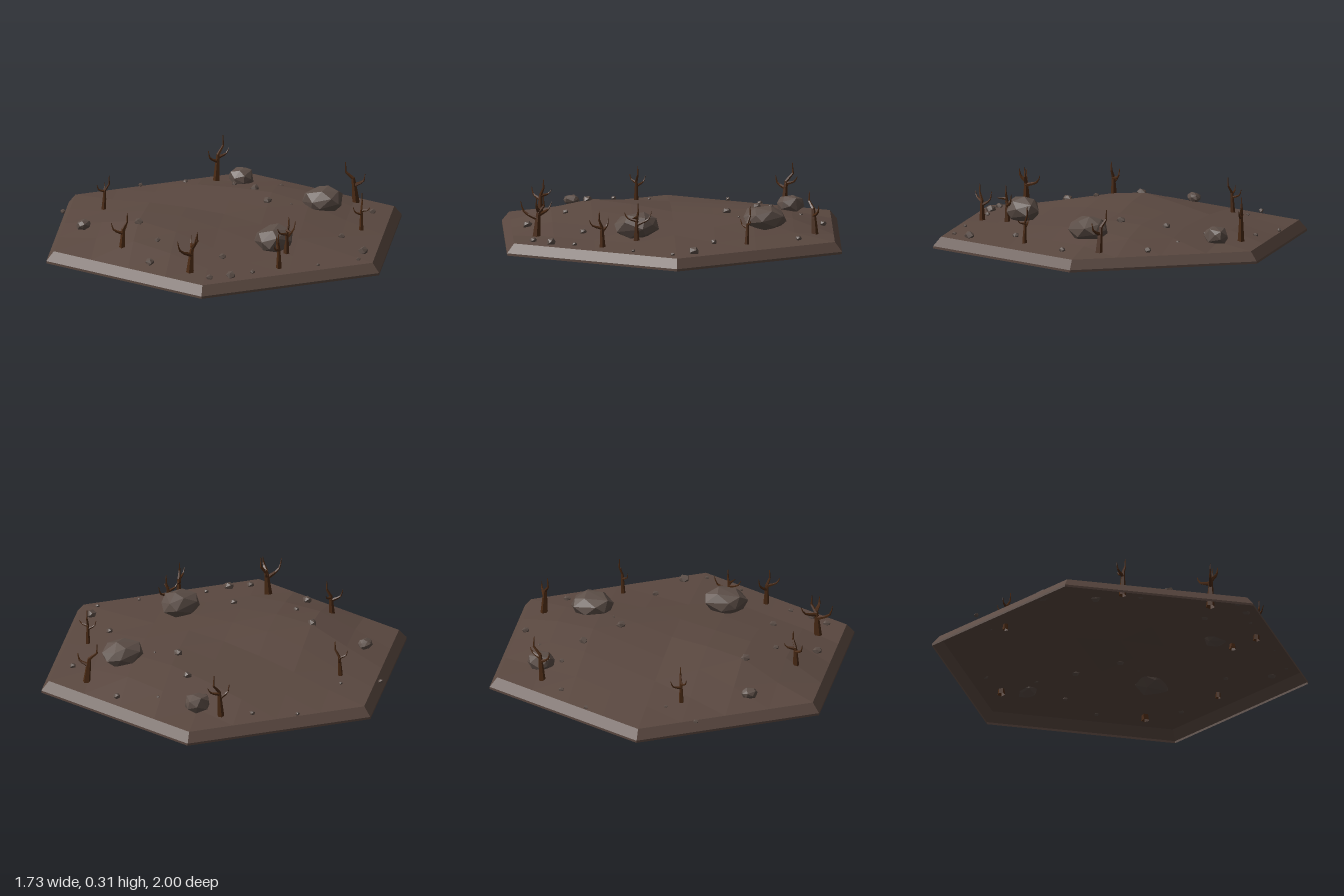
import * as THREE from 'three';
import { ConvexGeometry } from 'three/addons/geometries/ConvexGeometry.js';

const mat = (color) => new THREE.MeshStandardMaterial({ color, flatShading: true, side: THREE.DoubleSide, roughness: 1 });
const earth = mat(0x5a4840), stone = mat(0x5c4e47), bark = mat(0x4a2a14);

let seed = 7;
const rand = () => (seed = (seed * 16807) % 2147483647) / 2147483647;

// Ground heights inside the rim, one column per x step, running back to front
const RIM = 0.06, R = 0.958, STEP = R / 4;
const HEIGHTS = [
  [0.10, 0.13, 0.11, 0.075],
  [0.11, 0.165, 0.15, 0.11, 0.075],
  [0.09, 0.14, 0.16, 0.14, 0.11, 0.08],
  [0.08, 0.11, 0.13, 0.14, 0.13, 0.10, 0.08],
  [0.09, 0.12, 0.14, 0.145, 0.12, 0.08],
  [0.10, 0.13, 0.15, 0.135, 0.09],
  [0.08, 0.11, 0.12, 0.09],
];

// Triangular grid: columns of 5 to 9 points
const columns = [];
for (let i = -4; i <= 4; i++) {
  const n = 9 - Math.abs(i), col = [];
  for (let j = 0; j < n; j++) {
    const y = HEIGHTS[i + 3]?.[j - 1] ?? RIM;
    col.push(new THREE.Vector3(i * STEP * Math.sqrt(3) / 2, y, (j - (n - 1) / 2) * STEP));
  }
  columns.push(col);
}

// Smoothed ground height, for standing things on it
function groundAt(x, z) {
  let sum = 0, total = 0;
  for (const p of columns.flat()) {
    const w = Math.max(0, 1 - Math.hypot(p.x - x, p.z - z) / 0.26);
    sum += w * p.y;
    total += w;
  }
  return total ? sum / total : RIM;
}

function terrainGeometry() {
  const pts = [];
  for (let i = 0; i < 8; i++) {
    const grows = columns[i + 1].length > columns[i].length;
    const a = grows ? columns[i] : columns[i + 1]; // shorter column
    const b = grows ? columns[i + 1] : columns[i];
    const add = (p, q, r) => pts.push(...(grows ? [p, r, q] : [p, q, r]));
    for (let j = 0; j < a.length; j++) {
      add(a[j], b[j], b[j + 1]);
      if (j + 1 < a.length) add(a[j], b[j + 1], a[j + 1]);
    }
  }
  const g = new THREE.BufferGeometry().setFromPoints(pts);
  g.computeVertexNormals();
  return g;
}

// Faceted boulder: hull of jittered points spread over a sphere
function rockGeometry(count, rx, ry, rz) {
  const pts = [];
  for (let i = 0; i < count; i++) {
    const y = 1 - (2 * i + 1) / count, a = i * 2.4 + rand() * 0.5;
    const s = Math.sqrt(1 - y * y), k = 0.95 + rand() * 0.15;
    pts.push(new THREE.Vector3(Math.cos(a) * s * k * rx, y * k * ry, Math.sin(a) * s * k * rz));
  }
  return new ConvexGeometry(pts);
}

// Tapered five-sided limb through a few points
function limb(points, r0, r1) {
  const curve = new THREE.CatmullRomCurve3(points);
  const segs = 5, sides = 5;
  const g = new THREE.TubeGeometry(curve, segs, 1, sides);
  const pos = g.attributes.position, v = new THREE.Vector3();
  for (let i = 0; i < pos.count; i++) {
    const t = Math.floor(i / (sides + 1)) / segs, c = curve.getPointAt(t);
    v.fromBufferAttribute(pos, i).sub(c).multiplyScalar(r0 + (r1 - r0) * t).add(c);
    pos.setXYZ(i, v.x, v.y, v.z);
  }
  return new THREE.Mesh(g, bark);
}

// Dead tree: the trunk runs into the first tip, the other tips fork off it
function deadTree(x, z, tips, r = 0.02) {
  const tree = new THREE.Group();
  tree.name = 'deadTree';
  const y0 = groundAt(x, z), V = (a, b, c) => new THREE.Vector3(a, b, c);
  const [mx, my, mz] = tips[0], h = my - y0;
  const forkAt = (k) => V(x + mx * k * 0.5, y0 + h * k, z + mz * k * 0.5);
  const trunk = limb([V(x, y0 - 0.03, z), forkAt(0.35), forkAt(0.6), V(x + mx, y0 + h * 0.78, z + mz), V(x + mx * 0.9, my, z + mz)], r, 0.002);
  trunk.name = 'trunk';
  tree.add(trunk);
  tips.slice(1).forEach(([dx, ty, dz], i) => {
    const f = forkAt(0.42 + i * 0.1);
    const bend = V(x + dx * 0.8, f.y + (ty - f.y) * 0.4, z + dz * 0.8);
    const branch = limb([f, bend, V(x + dx, ty, z + dz)], r * 0.5, 0.0015);
    branch.name = 'branch';
    tree.add(branch);
  });
  return tree;
}

export function createModel() {
  const model = new THREE.Group();
  const add = (geometry, material, name, x = 0, y = 0, z = 0) => {
    const m = new THREE.Mesh(geometry, material);
    m.name = name;
    m.position.set(x, y, z);
    model.add(m);
  };

  // Hexagonal plot: thin foot, bevelled rim, hilly top, open below
  add(new THREE.CylinderGeometry(1, 1, 0.012, 6, 1, true), earth, 'foot', 0, 0.006, 0);
  add(new THREE.CylinderGeometry(R, 1, RIM - 0.012, 6, 1, true), earth, 'rim', 0, (RIM + 0.012) / 2, 0);
  add(terrainGeometry(), earth, 'ground');

  // Boulders: x, y, z, half sizes
  for (const [x, y, z, rx, ry, rz] of [
    [-0.195, 0.148, 0.47, 0.115, 0.07, 0.092],
    [0.47, 0.155, 0.29, 0.112, 0.068, 0.105],
    [0.62, 0.115, -0.35, 0.07, 0.05, 0.065],
    [-0.505, 0.11, -0.53, 0.042, 0.028, 0.035],
  ]) add(rockGeometry(22, rx, ry, rz), stone, 'boulder', x, y, z);

  // Pebbles: x, z, radius
  for (const [x, z, r] of [
    [-0.28, -0.83, 0.014], [0.31, -0.77, 0.012], [-0.1, -0.71, 0.01], [0.47, -0.6, 0.014],
    [-0.43, -0.23, 0.026], [0.52, -0.32, 0.014], [0.44, -0.13, 0.023], [0.67, -0.13, 0.012],
    [-0.55, -0.02, 0.016], [-0.75, 0.08, 0.025], [0.28, 0.07, 0.025], [0.78, 0.06, 0.019],
    [0.34, 0.18, 0.007], [-0.47, 0.34, 0.02], [-0.73, 0.45, 0.02], [-0.64, 0.52, 0.026],
    [-0.52, 0.57, 0.014], [0.64, 0.48, 0.018], [0.2, 0.61, 0.018], [0.09, 0.83, 0.028],
    [-0.02, 0.88, 0.012], [-0.22, 0.77, 0.01],
  ]) add(rockGeometry(12, r, r * 0.85, r), stone, 'pebble', x, groundAt(x, z) + r * 0.35, z);

  // Dead trees: x, z, tips as [dx, height, dz]
  for (const [x, z, tips, r] of [
    [-0.17, -0.65, [[0.01, 0.27, 0.03], [0.05, 0.21, -0.03], [-0.03, 0.22, -0.02]], 0.015],
    [0.59, -0.49, [[0.05, 0.31, 0.01], [-0.04, 0.24, -0.02], [0.07, 0.24, 0.03]]],
    [-0.68, -0.15, [[0.02, 0.29, 0.02], [-0.04, 0.24, -0.04], [0.06, 0.23, -0.01]]],
    [-0.71, 0.31, [[0.04, 0.28, 0.02], [-0.08, 0.25, -0.02], [0.08, 0.24, -0.05], [0, 0.27, 0.04]], 0.024],
    [0.73, 0.31, [[-0.03, 0.29, -0.05], [0.02, 0.23, 0.04]], 0.022],
    [0.37, 0.61, [[0.02, 0.27, -0.01], [-0.03, 0.2, -0.03], [0.02, 0.2, 0.04]], 0.014],
    [-0.375, 0.635, [[-0.02, 0.255, 0.01], [0.03, 0.22, -0.04], [-0.07, 0.21, 0.02]], 0.018],
    [-0.2, 0.55, [[0.01, 0.28, 0.01], [0.08, 0.24, 0], [-0.06, 0.23, -0.01], [-0.02, 0.21, 0.05]], 0.018],
  ]) model.add(deadTree(x, z, tips, r));

  return model;
}
